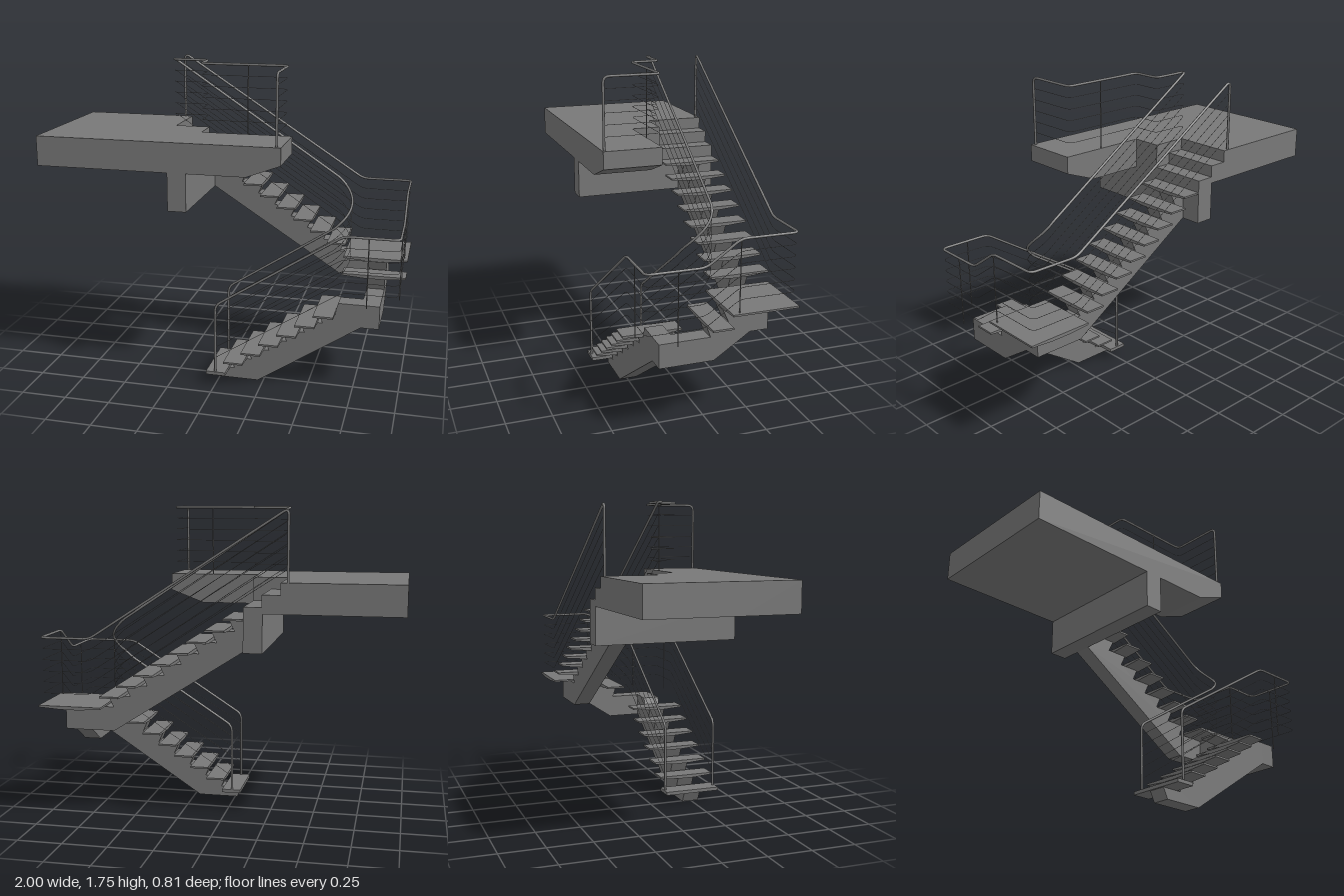
import * as THREE from 'three';

const GO = 0.0985;            // tread depth per step
const RISE_LOW = 0.0645, RISE_UP = 0.0637;
const SIDE = 0.407;           // half width of the whole stair

export function createModel() {
  const model = new THREE.Group();
  const flat = new THREE.MeshStandardMaterial({ color: 0x787878, flatShading: true });
  const smooth = new THREE.MeshStandardMaterial({ color: 0x787878 });

  function add(geometry, name, parent = model, material = flat) {
    const mesh = new THREE.Mesh(geometry, material);
    mesh.name = name;
    parent.add(mesh);
  }
  function group(name) {
    const g = new THREE.Group();
    g.name = name;
    model.add(g);
    return g;
  }
  // Side profile (x, y) extruded from z0 to z1
  function extrudeZ(points, z0, z1) {
    const shape = new THREE.Shape(points.map(p => new THREE.Vector2(p[0], p[1])));
    return new THREE.ExtrudeGeometry(shape, { depth: z1 - z0, bevelEnabled: false }).translate(0, 0, z0);
  }
  // Profile (z, y) extruded from x0 to x1
  function extrudeX(points, x0, x1) {
    return extrudeZ(points.map(([z, y]) => [-z, y]), x0, x1).rotateY(Math.PI / 2);
  }
  // Tread profile: flat top, underside thinning towards both ends
  function treadProfile(a, b, y) {
    const m = (a + b) / 2;
    return [[a, y], [b, y], [b, y - 0.01], [m + 0.05, y - 0.019], [m - 0.05, y - 0.019], [a, y - 0.01]];
  }

  // Upper floor slab: stepped back strip, middle strip, front arm with chamfered end
  const floor = group('upperFloor');
  const top = 1.365, under = 1.2;
  add(extrudeZ([[-1, under], [-0.155, under], [-0.155, 1.235], [-0.2535, 1.235], [-0.2535, 1.3],
    [-0.352, 1.3], [-0.352, top], [-1, top]], -SIDE, -0.08), 'steppedSlab', floor);
  add(extrudeZ([[-1, under], [-0.155, under], [-0.155, top], [-1, top]], -0.08, 0.085), 'middleSlab', floor);
  add(extrudeZ([[-1, under], [0.17, under], [0.355, 1.27], [0.355, top], [-1, top]], 0.085, SIDE), 'frontSlab', floor);
  add(extrudeZ([[-0.258, 0.99], [-0.155, 0.99], [-0.155, under], [-0.258, under]], -SIDE, SIDE), 'supportBeam', floor);

  // Lower stringer with slanted teeth
  const lower = [];
  for (let i = 0; i < 7; i++) {
    const x = GO * i, y = 0.06 + RISE_LOW * i;
    lower.push([x - 0.013, i ? y - RISE_LOW : 0], [x - 0.042, y]);
  }
  lower.push([0.642, 0.447], [0.66, 0.505], [0.883, 0.505], [0.883, 0.375], [0.785, 0.375], [0.22, 0]);
  add(extrudeZ(lower, 0.195, 0.293), 'lowerStringer');

  // Upper stringer, teeth facing the other way
  const upper = [[-0.155, 0.99], [-0.155, 1.152]];
  for (let i = 0; i < 8; i++) {
    const x = -0.151 + GO * (i + 1), y = 1.152 - RISE_UP * i;
    upper.push([x - 0.006, y], [x - 0.036, y - RISE_UP]);
  }
  upper.push([0.883, 0.642], [0.883, 0.505], [0.6, 0.505]);
  add(extrudeZ(upper, -0.293, -0.195), 'upperStringer');

  // Cross stringer joining both flights at the turn
  add(extrudeX([[0.293, 0.375], [0, 0.375], [-0.195, 0.505], [-0.293, 0.505], [-0.293, 0.642],
    [-0.045, 0.642], [-0.075, 0.576], [0.045, 0.576], [0.02, 0.505], [0.293, 0.505]], 0.785, 0.883), 'crossStringer');

  // Treads and landing
  const treads = group('treads');
  add(new THREE.BoxGeometry(0.11, 0.019, 0.325).translate(0.003, 0.0685, 0.2445), 'firstTread', treads);
  for (let i = 1; i < 7; i++) {
    const x = -0.051 + GO * i;
    add(extrudeX(treadProfile(0.082, SIDE, 0.078 + RISE_LOW * i), x, x + 0.108), 'lowerTread', treads);
  }
  for (let i = 0; i < 8; i++) {
    const x = -0.152 + GO * i;
    add(extrudeX(treadProfile(-SIDE, -0.08, 1.17 - RISE_UP * i), x, x + 0.108), 'upperTread', treads);
  }
  add(extrudeZ(treadProfile(0.645, 1, 0.593), -0.055, 0.055), 'turnTread', treads);
  add(extrudeZ(treadProfile(0.64, 1, 0.66), -SIDE, -0.05), 'landing', treads);

  // Tube along a polyline with rounded corners
  function tube(points, radius, bend, name, parent) {
    const p = points.map(q => new THREE.Vector3(...q));
    const sides = radius > 0.005 ? 8 : 5;
    let from = p[0];
    for (let i = 1; i < p.length; i++) {
      let to = p[i], next = null;
      if (i < p.length - 1) {
        const r = Math.min(bend, p[i].distanceTo(p[i - 1]) * 0.49, p[i].distanceTo(p[i + 1]) * 0.49);
        to = p[i].clone().add(p[i - 1].clone().sub(p[i]).setLength(r));
        next = p[i].clone().add(p[i + 1].clone().sub(p[i]).setLength(r));
      }
      add(new THREE.TubeGeometry(new THREE.LineCurve3(from, to), 1, radius, sides), name, parent, smooth);
      if (next) {
        const curve = new THREE.QuadraticBezierCurve3(to, p[i], next);
        add(new THREE.TubeGeometry(curve, 5, radius, sides), name, parent, smooth);
        from = next;
      }
    }
  }
  // Handrail with end posts and five parallel wires below it
  function railing(name, path, startY, endY) {
    const g = group(name);
    const [a, b] = [path[0], path[path.length - 1]];
    tube([[a[0], startY, a[2]], ...path, [b[0], endY, b[2]]], 0.007, 0.035, 'handrail', g);
    for (let i = 1; i <= 5; i++) {
      tube(path.map(([x, y, z]) => [x, y - 0.062 * i, z]), 0.0014, 0.035, 'wire', g);
    }
    return g;
  }
  function post(parent, x, z, y0, y1) {
    const g = new THREE.CylinderGeometry(0.003, 0.003, y1 - y0, 8).translate(x, (y0 + y1) / 2, z);
    add(g, 'post', parent, smooth);
  }

  // Outer railing: up the lower flight, round the landing, up the upper flight
  const outer = railing('outerRailing', [
    [0, 0.47, 0.395], [0.69, 0.915, 0.395], [0.98, 0.915, 0.395], [0.98, 0.915, 0.09],
    [0.98, 1.04, -0.09], [0.98, 1.04, -0.395], [0.7, 1.04, -0.395], [-0.39, 1.745, -0.395],
  ], 0.078, top);
  post(outer, 0.82, 0.395, 0.53, 0.915);
  post(outer, 0.98, 0.23, 0.53, 0.915);
  post(outer, 0.98, -0.09, 0.65, 1.04);

  // Inner railing: rising half-turn around the well, then the guard on the upper floor
  const turn = [];
  for (let i = 0; i <= 10; i++) {
    const a = Math.PI * i / 10;
    turn.push([0.6 + 0.085 * Math.sin(a), 0.86 + 0.25 * i / 10, 0.09 * Math.cos(a)]);
  }
  const inner = railing('innerRailing', [
    [0, 0.47, 0.09], ...turn, [-0.355, 1.745, -0.09], [-0.355, 1.745, -0.07],
    [-0.155, 1.745, -0.07], [-0.155, 1.745, 0.09], [0.33, 1.745, 0.09], [0.33, 1.745, 0.395],
  ], 0.078, top);
  post(inner, 0.11, 0.09, top, 1.745);

  return model;
}
